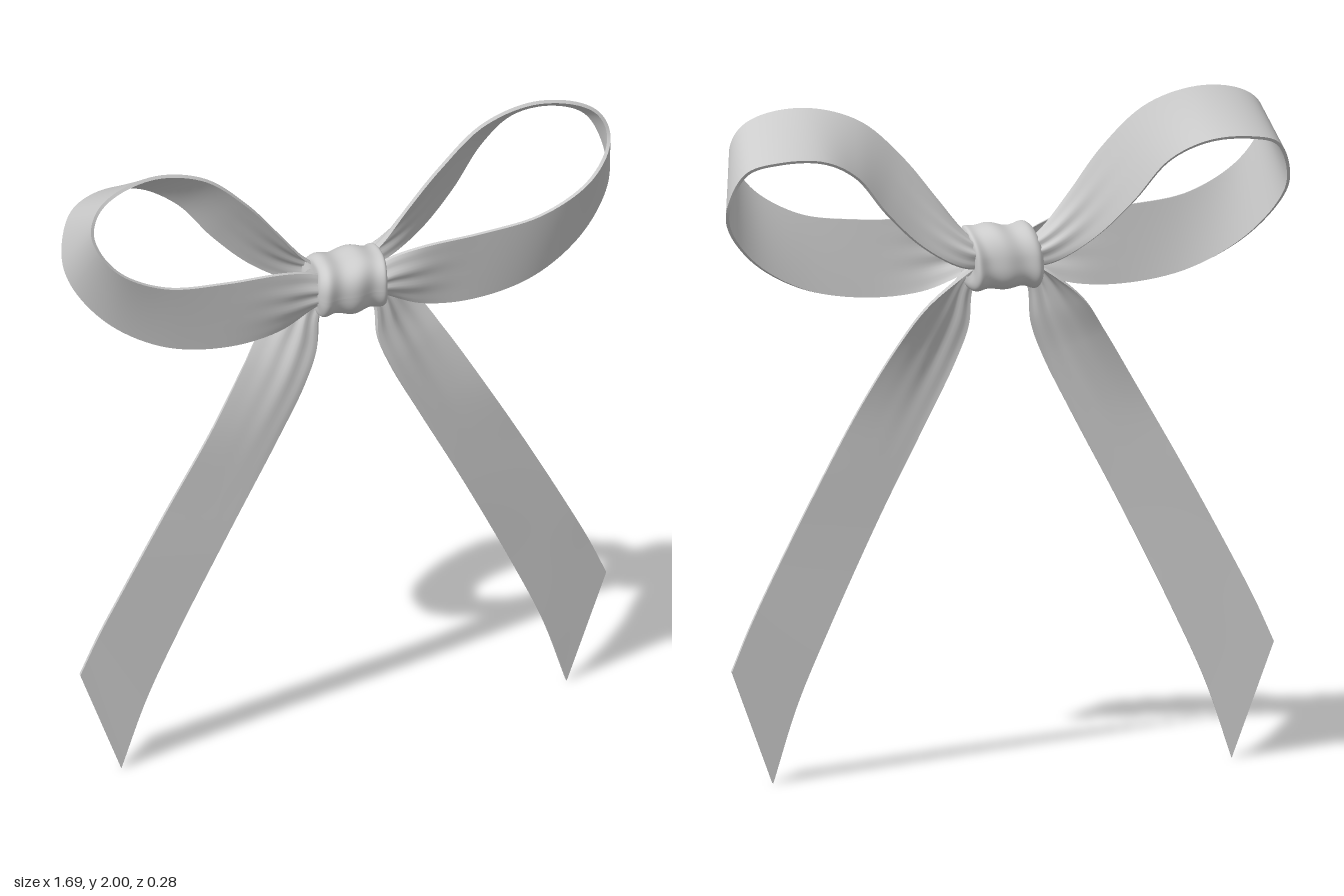
import * as THREE from 'three';
import { mergeGeometries } from 'three/addons/utils/BufferGeometryUtils.js';

const THICK = 0.005; // half the ribbon thickness
const V = (p) => new THREE.Vector3(...p);

// Smooth surface grid from a function (u, v) -> Vector3; mirror flips it across x
function grid(fn, nu, nv, mirror = false) {
  const pos = [], index = [];
  for (let i = 0; i <= nu; i++) {
    for (let j = 0; j <= nv; j++) {
      const p = fn(i / nu, j / nv);
      pos.push(mirror ? -p.x : p.x, p.y, p.z);
    }
  }
  for (let i = 0; i < nu; i++) {
    for (let j = 0; j < nv; j++) {
      const a = i * (nv + 1) + j, b = a + nv + 1;
      if (mirror) index.push(a, b, a + 1, b, b + 1, a + 1);
      else index.push(a, a + 1, b, b, a + 1, b + 1);
    }
  }
  const g = new THREE.BufferGeometry();
  g.setAttribute('position', new THREE.Float32BufferAttribute(pos, 3));
  g.setIndex(index);
  g.computeVertexNormals();
  return g;
}

// Thin solid ribbon stretched between two edge curves, with gathers near the knot
function ribbon(edgeA, edgeB, bulge, mirror) {
  const a = new THREE.CatmullRomCurve3(edgeA.map(V));
  const b = new THREE.CatmullRomCurve3(edgeB.map(V));
  const point = (u, v, side) => {
    const pa = a.getPoint(u), pb = b.getPoint(u);
    const along = a.getTangent(u).lerp(b.getTangent(u), v);
    const n = pb.clone().sub(pa).cross(along).normalize();
    const p = pa.lerp(pb, v);
    const near = Math.exp(-Math.pow(Math.max(p.x - 0.08, 0) / 0.13, 2));
    const arch = 4 * v * (1 - v);
    const fold = 0.006 * Math.cos(v * Math.PI * 6) * arch;
    return p.addScaledVector(n, near * (bulge * arch + fold) + side * THICK);
  };
  const N = 110, M = 20;
  return mergeGeometries([
    grid((u, v) => point(u, v, 1), N, M, mirror),
    grid((u, v) => point(u, 1, 1 - 2 * v), N, 1, mirror),
    grid((u, v) => point(u, 1 - v, -1), N, M, mirror),
    grid((u, v) => point(u, 0, 2 * v - 1), N, 1, mirror),
    grid((u, v) => point(1, v, 1 - 2 * u), 1, M, mirror),
  ]);
}

// Loop: out along the front strand, round the tip, back along the rear strand
const loopFrontEdge = [
  [0.05, 1.56, 0.07], [0.12, 1.6, 0.08], [0.22, 1.63, 0.1], [0.4, 1.64, 0.105],
  [0.58, 1.665, 0.11], [0.72, 1.74, 0.11], [0.785, 1.82, 0.095], [0.8, 1.88, 0.075],
  [0.775, 1.94, 0.06], [0.71, 1.98, 0.045], [0.58, 1.995, 0.025], [0.43, 1.95, 0.02],
  [0.3, 1.835, 0.02], [0.2, 1.71, 0.01], [0.12, 1.61, 0.01], [0.05, 1.55, 0.01],
];
const loopBackEdge = [
  [0.05, 1.5, 0.06], [0.12, 1.465, 0.06], [0.22, 1.425, 0.075], [0.38, 1.412, 0.085],
  [0.57, 1.445, 0.075], [0.73, 1.535, 0.04], [0.825, 1.65, -0.01], [0.842, 1.73, -0.055],
  [0.8, 1.84, -0.105], [0.71, 1.872, -0.138], [0.58, 1.868, -0.138], [0.47, 1.81, -0.105],
  [0.37, 1.69, -0.08], [0.26, 1.585, -0.06], [0.14, 1.515, -0.045], [0.05, 1.5, -0.03],
];

// Tail: hangs down and outward to a slanted cut
const tailOuterEdge = [
  [0.05, 1.53, 0], [0.14, 1.475, -0.02], [0.235, 1.395, -0.015], [0.31, 1.285, 0.015],
  [0.42, 1.1, 0.04], [0.56, 0.85, 0.035], [0.7, 0.585, 0.025], [0.76, 0.465, 0.018],
  [0.815, 0.34, 0.012],
];
const tailInnerEdge = [
  [0.05, 1.49, 0.03], [0.085, 1.43, 0.045], [0.095, 1.32, 0.05], [0.135, 1.21, 0.055],
  [0.22, 1.04, 0.055], [0.36, 0.77, 0.05], [0.52, 0.44, 0.035], [0.615, 0.225, 0.027],
  [0.69, 0, 0.018],
];

// Knot: rounded band with slanting creases and rolled-in ends
function knotGeometry() {
  const soft = (c) => Math.sign(c) * Math.pow(Math.abs(c), 0.8);
  return grid((u, v) => {
    const t = 2 * u - 1, ang = v * Math.PI * 2;
    const roll = Math.pow(Math.max(0, 1 - Math.pow(Math.abs(t), 7)), 0.5);
    const crease = 0.045 * Math.cos(t * 9 + 0.9 * Math.sin(ang) + 0.5)
      + 0.025 * Math.sin(t * 5 - 2 * ang);
    const r = (0.55 + 0.42 * roll) * (1 + crease * roll);
    const x = 0.105 * Math.sin(t * 1.45) / Math.sin(1.45) + 0.006 * Math.sin(ang * 2 + 1);
    return new THREE.Vector3(
      x,
      1.525 + 0.093 * r * soft(Math.sin(ang)),
      0.035 + 0.102 * r * soft(Math.cos(ang)) + 0.012 * Math.sin(ang),
    );
  }, 60, 72, true);
}

export function createModel() {
  const satin = new THREE.MeshStandardMaterial({ color: 0xcccccc, side: THREE.DoubleSide });
  satin.name = 'greyRibbon';
  const model = new THREE.Group();
  model.name = 'ribbonBow';
  const add = (name, geometry) => {
    const mesh = new THREE.Mesh(geometry, satin);
    mesh.name = name;
    model.add(mesh);
  };
  for (const side of ['left', 'right']) {
    const mirror = side === 'right';
    add(side + 'Loop', ribbon(loopFrontEdge, loopBackEdge, 0.03, mirror));
    add(side + 'Tail', ribbon(tailOuterEdge, tailInnerEdge, 0.02, mirror));
  }
  add('knot', knotGeometry());
  return model;
}
